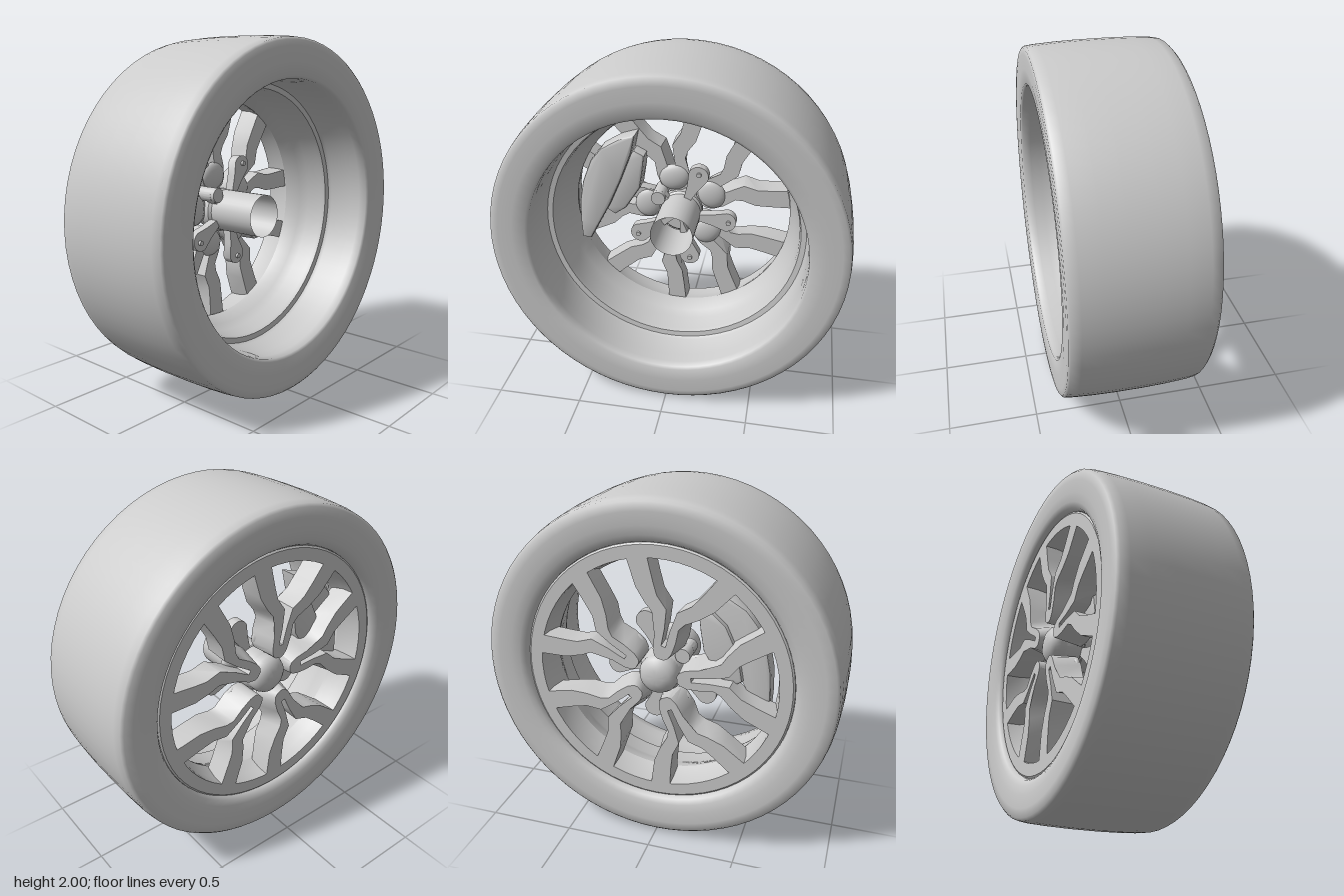
import * as THREE from 'three';
import { toCreasedNormals } from 'three/addons/utils/BufferGeometryUtils.js';

const grey = new THREE.MeshStandardMaterial({ color: 0xcccccc, side: THREE.DoubleSide });

function part(parent, name, geometry, x = 0, y = 0, z = 0) {
  const mesh = new THREE.Mesh(geometry, grey);
  mesh.name = name;
  mesh.position.set(x, y, z);
  parent.add(mesh);
}

// Profile of [radius, z] pairs spun about the wheel axis (z)
function spin(profile, segments, crease) {
  const points = profile.map(([r, z]) => new THREE.Vector2(r, z));
  return toCreasedNormals(new THREE.LatheGeometry(points, segments).rotateX(Math.PI / 2), crease);
}

// Flat outline extruded between two depths
function plate(shape, z0, z1, bevel = 0) {
  const g = new THREE.ExtrudeGeometry(shape, {
    depth: z1 - z0 - 2 * bevel, bevelEnabled: bevel > 0, bevelSize: bevel, bevelOffset: -bevel,
    bevelThickness: bevel, bevelSegments: 2, curveSegments: 10,
  });
  return g.translate(0, 0, z0 + bevel);
}

const creased = (g) => toCreasedNormals(g, 0.7);
const outline = (pts) => new THREE.Shape(pts.map(([x, y]) => new THREE.Vector2(x, y)));

// Forked spoke along +x, mirrored about that line; its outside face narrows towards the hub
function forkGeometry() {
  const outer = [[0.122, 0.03], [0.135, 0.06], [0.17, 0.085], [0.24, 0.098], [0.32, 0.093], [0.36, 0.12], [0.41, 0.178], [0.48, 0.22], [0.63, 0.305]];
  const inner = [[0.69, 0.208], [0.55, 0.14], [0.47, 0.098], [0.41, 0.035], [0.30, 0.025], [0.20, 0.02]];
  const half = [...outer, ...inner];
  const fork = outline([...half, ...half.map(([x, y]) => [x, -y]).reverse()]);
  const g = plate(fork, -0.332, -0.19);
  const p = g.attributes.position;
  for (let i = 0; i < p.count; i++) {
    if (p.getZ(i) < -0.3) {
      const k = THREE.MathUtils.smoothstep(p.getX(i), 0.3, 0.5);
      p.setY(i, p.getY(i) * THREE.MathUtils.lerp(0.62, 1, k));
    }
  }
  g.computeVertexNormals();
  return creased(g);
}

export function createModel() {
  const model = new THREE.Group();
  model.name = 'wheel';
  const wheel = new THREE.Group();
  wheel.name = 'wheelAssembly';
  wheel.position.y = 1;
  model.add(wheel);

  // Tyre: crowned tread, round shoulders, sidewalls curling in to the beads
  part(wheel, 'tyre', spin([
    [0.768, 0.31], [0.77, 0.358], [0.785, 0.369], [0.86, 0.374], [0.94, 0.375], [0.972, 0.373],
    [0.985, 0.362], [0.991, 0.31], [0.997, 0.2], [1.0, 0.08], [1.0, -0.08], [0.997, -0.2],
    [0.991, -0.31], [0.983, -0.358], [0.968, -0.372], [0.92, -0.375], [0.85, -0.372], [0.80, -0.364],
    [0.77, -0.35], [0.757, -0.33], [0.752, -0.28],
  ], 72, 1.0));

  // Rim barrel: wide bay at the front, a ledge, an inner lip, then flaring to the face ring
  part(wheel, 'rimBarrel', spin([
    [0.77, 0.33], [0.765, 0.25], [0.76, 0.11], [0.75, 0.09], [0.72, 0.085], [0.712, 0.06],
    [0.705, -0.04], [0.68, -0.09], [0.655, -0.15], [0.648, -0.18], [0.655, -0.2],
    [0.672, -0.26], [0.675, -0.332], [0.745, -0.332], [0.755, -0.325], [0.757, -0.28],
  ], 64, 0.5));

  // Five forked spokes, each with a shallow rounded web behind its hub end
  const fork = forkGeometry();
  const web = new THREE.SphereGeometry(1, 24, 16).scale(0.082, 0.093, 0.035);
  for (let i = 0; i < 5; i++) {
    const spoke = new THREE.Group();
    spoke.name = 'spoke';
    spoke.rotation.z = THREE.MathUtils.degToRad(31 + 72 * i);
    wheel.add(spoke);
    part(spoke, 'spokeFork', fork);
    part(spoke, 'spokeWeb', web, 0.208, 0, -0.2);
  }

  // Hub with domed cap on the outside
  part(wheel, 'hub', spin([
    [0, -0.335], [0.04, -0.332], [0.075, -0.322], [0.1, -0.302], [0.112, -0.275], [0.112, -0.24],
    [0.125, -0.22], [0.13, -0.16], [0.115, -0.14], [0, -0.14],
  ], 32, 0.6));

  // Open axle tube
  part(wheel, 'axleTube', new THREE.CylinderGeometry(0.122, 0.122, 0.3, 32, 1, true).rotateX(Math.PI / 2), 0, 0, 0.01);

  // Star of tapered lugs between the spokes, each with a bolt; one is short
  const boltGeometry = new THREE.CylinderGeometry(0.014, 0.014, 0.02, 12).rotateX(Math.PI / 2);
  for (let i = 0; i < 5; i++) {
    const short = i === 2;
    const reach = short ? 0.165 : 0.28;
    const r = short ? 0.042 : 0.06;
    const shape = new THREE.Shape();
    shape.moveTo(0, 0);
    shape.lineTo(reach - 0.08, -r * 0.6);
    shape.lineTo(reach, -r);
    shape.absarc(reach, 0, r, -Math.PI / 2, Math.PI / 2);
    shape.lineTo(reach - 0.08, r * 0.6);
    const lug = new THREE.Group();
    lug.name = 'lug';
    lug.rotation.z = THREE.MathUtils.degToRad(-5 + 72 * i);
    wheel.add(lug);
    part(lug, 'lugArm', creased(plate(shape, -0.16, -0.105)));
    if (short) {
      part(lug, 'lugPin', new THREE.CylinderGeometry(0.042, 0.042, 0.16, 20).rotateX(Math.PI / 2), reach, 0, -0.16);
    } else {
      part(lug, 'lugBolt', boltGeometry, reach + 0.015, 0, -0.1);
    }
  }

  // Brake caliper: slim crescent body with a faceted block on its inner edge
  const caliper = new THREE.Group();
  caliper.name = 'brakeCaliper';
  wheel.add(caliper);
  const body = outline([
    [-0.255, 0.495], [-0.35, 0.465], [-0.46, 0.40], [-0.525, 0.32], [-0.58, 0.18], [-0.605, 0.05],
    [-0.61, -0.08], [-0.605, -0.2], [-0.55, -0.205], [-0.50, -0.11], [-0.42, 0.04], [-0.35, 0.2], [-0.28, 0.38],
  ]);
  part(caliper, 'caliperBody', creased(plate(body, -0.21, -0.08, 0.015)));
  const block = outline([
    [-0.21, 0.36], [-0.27, 0.39], [-0.36, 0.31], [-0.43, 0.16], [-0.46, 0.0], [-0.40, -0.04],
    [-0.33, 0.01], [-0.24, 0.15], [-0.22, 0.27],
  ]);
  part(caliper, 'caliperBlock', creased(plate(block, -0.24, -0.11, 0.015)));

  return model;
}
